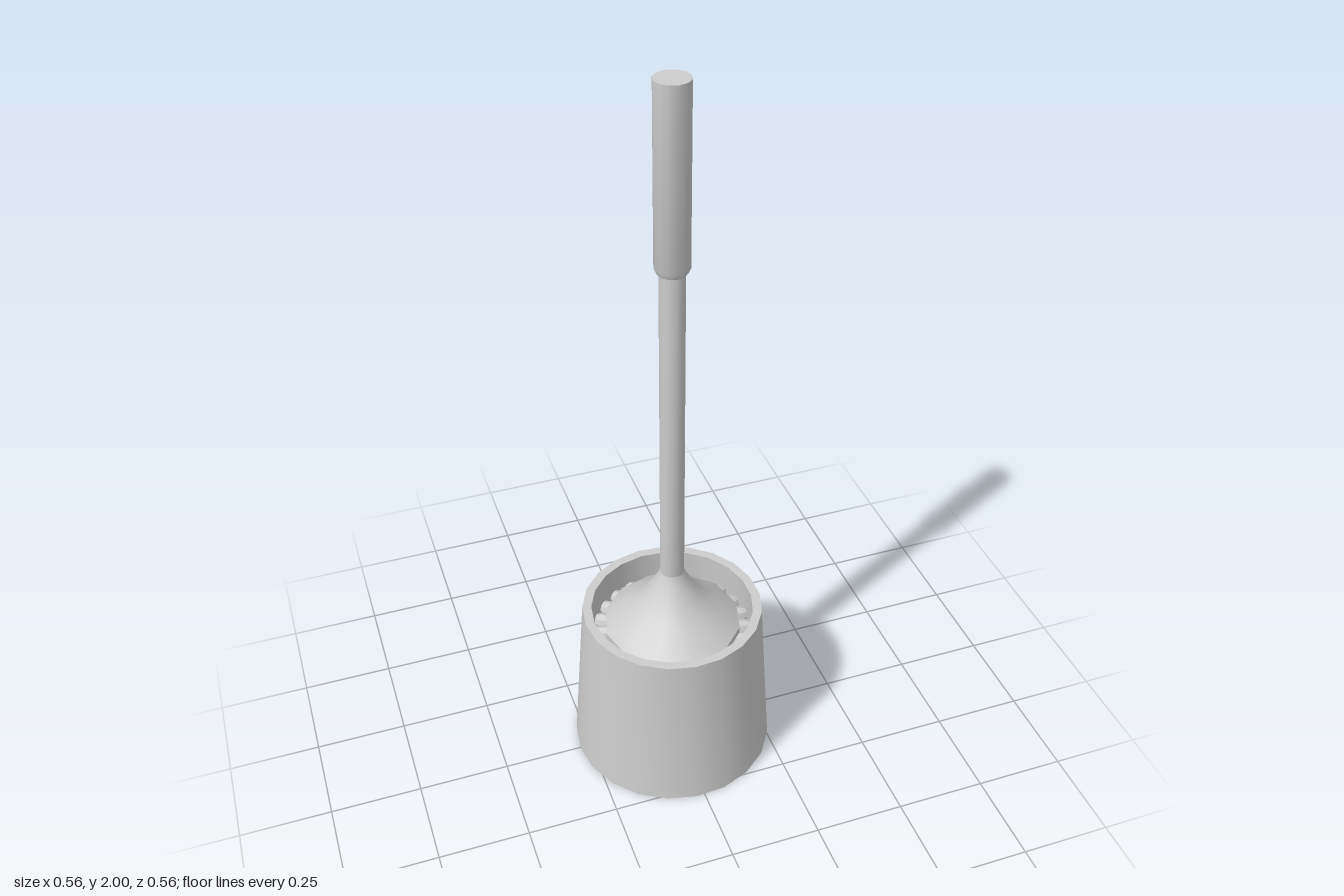
import * as THREE from 'three';
import { toCreasedNormals } from 'three/addons/utils/BufferGeometryUtils.js';

export function createModel() {
  const model = new THREE.Group();
  model.name = 'brushInHolder';
  const grey = new THREE.MeshStandardMaterial({ color: 0xcccccc });
  grey.name = 'light grey';

  const add = (name, geometry, parent = model) => {
    const mesh = new THREE.Mesh(toCreasedNormals(geometry, 0.7), grey);
    mesh.name = name;
    parent.add(mesh);
    return mesh;
  };
  const lathe = (points, sides, start = 0) =>
    new THREE.LatheGeometry(points.map(([r, y]) => new THREE.Vector2(r, y)), sides, start);

  // Tapered open cup with a flat rim and an inner floor
  add('holder', lathe([
    [0, 0], [0.281, 0], [0.248, 0.475], [0.223, 0.475], [0.254, 0.03], [0, 0.03],
  ], 21, -Math.PI / 2));

  // Splash cap flaring out of the rod
  add('cap', lathe([
    [0, 0.405], [0.19, 0.405], [0.19, 0.425], [0.165, 0.447], [0.13, 0.475],
    [0.1, 0.502], [0.075, 0.53], [0.054, 0.563], [0.04, 0.587], [0.033, 0.605],
  ], 12));

  // Rod and thicker grip with a chamfered lower end
  const rod = add('rod', new THREE.CylinderGeometry(0.033, 0.033, 0.95, 12, 1, true));
  rod.position.y = 1.075;
  add('grip', lathe([
    [0.033, 1.525], [0.038, 1.525], [0.045, 1.54], [0.045, 2], [0, 2],
  ], 12));

  // Small round button on the back of the grip
  const button = add('button', new THREE.CylinderGeometry(0.018, 0.018, 0.014, 12).rotateX(Math.PI / 2));
  button.position.set(0, 1.775, -0.046);

  // Brush core with rings of stubby radial bristle tufts
  const core = add('brushCore', new THREE.CylinderGeometry(0.05, 0.05, 0.34, 12));
  core.position.y = 0.235;
  const bristles = new THREE.Group();
  bristles.name = 'bristles';
  model.add(bristles);
  const tuft = lathe([[0, 0], [0.023, 0], [0.023, 0.155], [0.018, 0.172], [0, 0.172]], 8)
    .rotateX(Math.PI / 2);
  const count = 24;
  for (let row = 0; row < 6; row++) {
    for (let i = 0; i < count; i++) {
      const angle = (i / count) * Math.PI * 2;
      const mesh = add('bristleTuft', tuft, bristles);
      mesh.position.set(Math.sin(angle) * 0.046, 0.38 - row * 0.056, Math.cos(angle) * 0.046);
      mesh.rotation.y = angle;
    }
  }
  return model;
}
